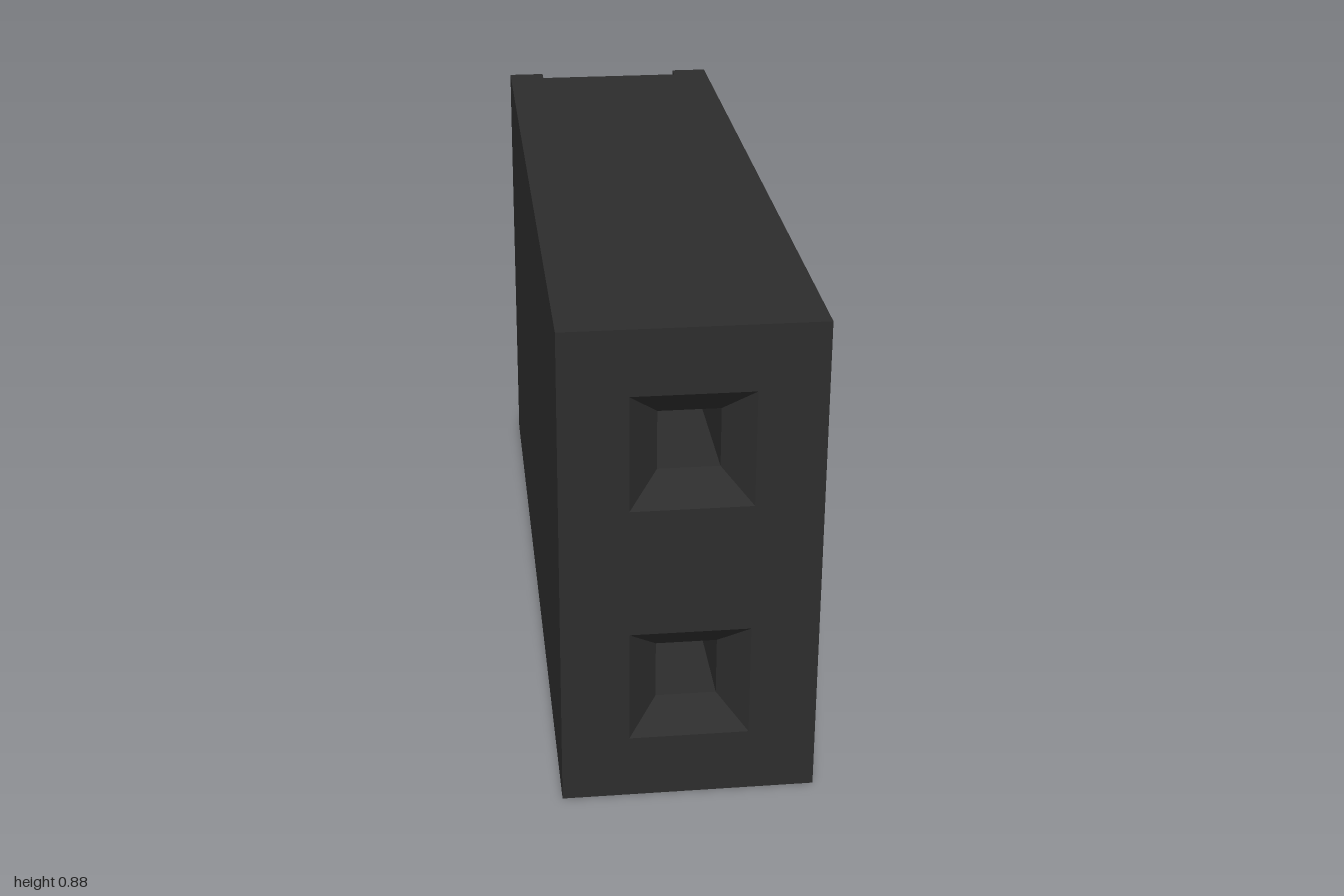
import * as THREE from 'three';

const HALF_W = 0.219, HEIGHT = 0.877;
const FRONT = 1, SHAFT_END = -0.3, RECESS = -0.433, BACK = -0.466;
const SOCKETS = [0.219, 0.658]; // socket centre heights

const polygon = (points, Type = THREE.Shape) =>
  new Type(points.map(([x, y]) => new THREE.Vector2(x, y)));

// Front block: square holes that narrow from a wide mouth to a straight shaft
function createHousing() {
  const mouth = 0.103, shaft = 0.0525, funnelDepth = 0.05;
  const depth = FRONT - SHAFT_END;
  const shape = polygon([[-HALF_W, 0], [HALF_W, 0], [HALF_W, HEIGHT], [-HALF_W, HEIGHT]]);
  for (const y of SOCKETS) {
    shape.holes.push(polygon(
      [[-mouth, y - mouth], [-mouth, y + mouth], [mouth, y + mouth], [mouth, y - mouth]], THREE.Path));
  }
  const geometry = new THREE.ExtrudeGeometry(shape, { depth, steps: 2, bevelEnabled: false });
  const p = geometry.attributes.position;
  for (let i = 0; i < p.count; i++) {
    const x = p.getX(i), y = p.getY(i), z = p.getZ(i);
    if (z > depth - 0.001) continue;
    if (Math.abs(x) < HALF_W - 0.01) {
      const cy = y < HEIGHT / 2 ? SOCKETS[0] : SOCKETS[1];
      p.setXY(i, x * shaft / mouth, cy + (y - cy) * shaft / mouth);
    }
    if (z > 0.001) p.setZ(i, depth - funnelDepth);
  }
  geometry.computeVertexNormals();
  return geometry.translate(0, 0, SHAFT_END);
}

// Rear block: closes the shafts and carries the two raised side rails
function createRear() {
  const rail = 0.147;
  // Drawn in x and -z, then stood up along y
  const shape = polygon([
    [-HALF_W, -SHAFT_END], [HALF_W, -SHAFT_END], [HALF_W, -BACK], [rail, -BACK],
    [rail, -RECESS], [-rail, -RECESS], [-rail, -BACK], [-HALF_W, -BACK],
  ]);
  return new THREE.ExtrudeGeometry(shape, { depth: HEIGHT, bevelEnabled: false })
    .rotateX(-Math.PI / 2);
}

// Flat contact: tapered solder tail behind, spring fork inside the shaft
function createContact() {
  const thickness = 0.036, h = 0.051;
  // Drawn in -z and y, then turned to run front to back
  const shape = polygon([
    [1, -0.027], [1, 0.027], [0.9, h], [-0.6, h],
    [-0.5, 0.041], [0, 0.041], [0, -0.041], [-0.5, -0.041],
    [-0.6, -h], [0.9, -h],
  ]);
  return new THREE.ExtrudeGeometry(shape, { depth: thickness, bevelEnabled: false })
    .translate(0, 0, -thickness / 2)
    .rotateY(Math.PI / 2);
}

export function createModel() {
  const plastic = new THREE.MeshStandardMaterial({ color: 0x2d2d2d });
  plastic.name = 'black plastic';
  const gold = new THREE.MeshStandardMaterial({ color: 0xc4a873 });
  gold.name = 'gold metal';

  const model = new THREE.Group();
  model.name = 'socketConnector';
  const add = (name, geometry, material, y = 0) => {
    const mesh = new THREE.Mesh(geometry, material);
    mesh.name = name;
    mesh.position.y = y;
    model.add(mesh);
  };

  add('housing', createHousing(), plastic);
  add('rearBlock', createRear(), plastic);
  const contact = createContact();
  add('lowerContact', contact, gold, SOCKETS[0] + 0.001);
  add('upperContact', contact, gold, SOCKETS[1] + 0.001);
  return model;
}
